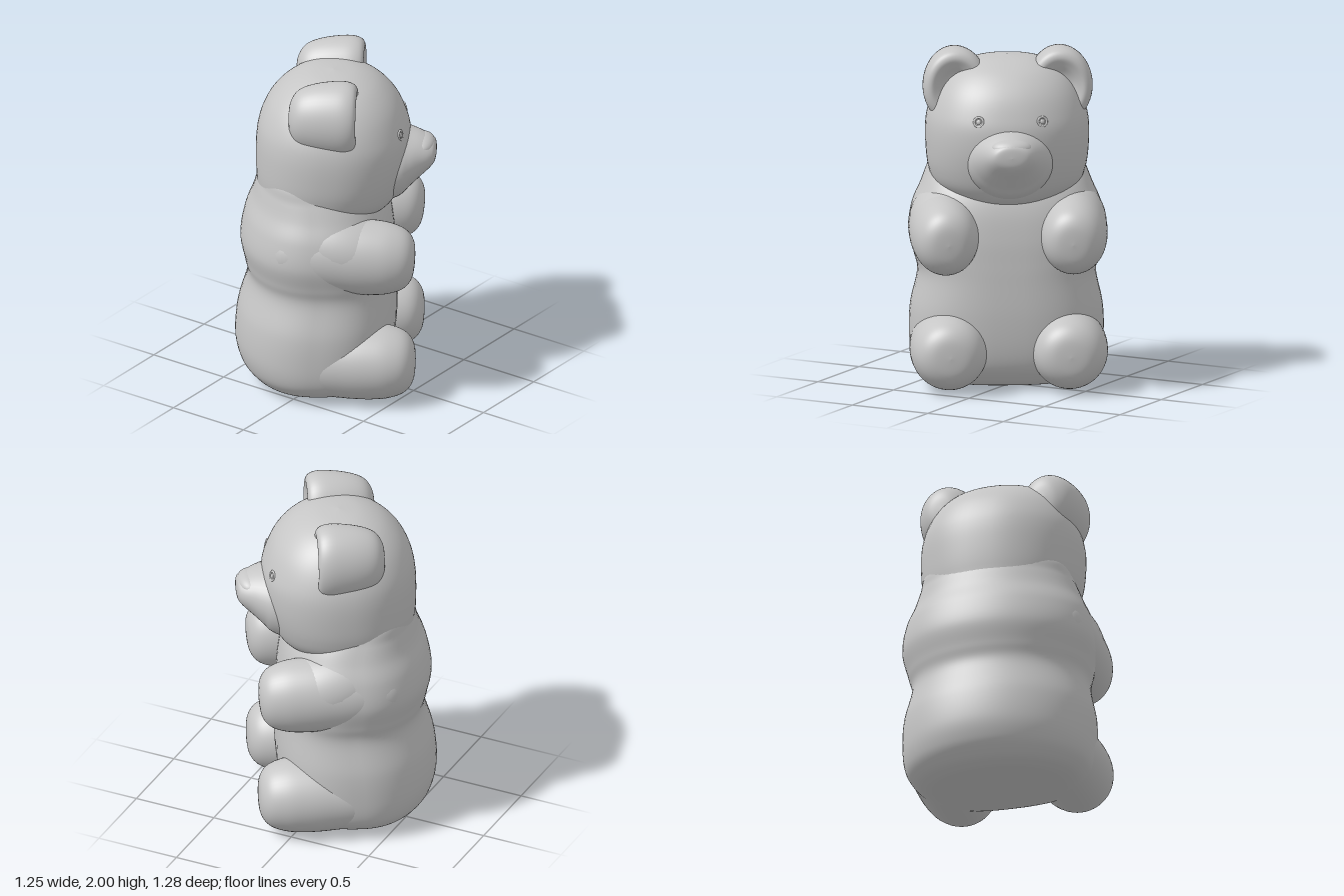
import * as THREE from 'three';

const grey = new THREE.MeshStandardMaterial({ color: 0xc6c6c6 });
grey.name = 'softGrey';

function part(name, geometry, parent, x = 0, y = 0, z = 0) {
  const mesh = new THREE.Mesh(geometry, grey);
  mesh.name = name;
  mesh.position.set(x, y, z);
  parent.add(mesh);
  return mesh;
}

// Smooth loft through rounded sections: [height, half width, back z, front z];
// a higher power makes that half of the section squarer
function loft(sections, backPower, frontPower, rows = 80, sides = 72) {
  const [width, back, front] = [1, 2, 3].map(
    (k) => new THREE.SplineCurve(sections.map((s) => new THREE.Vector2(s[0], s[k])))
  );
  const positions = [], index = [];
  for (let i = 0; i <= rows; i++) {
    const t = i / rows;
    const w = width.getPoint(t), b = back.getPoint(t).y, f = front.getPoint(t).y;
    for (let j = 0; j < sides; j++) {
      const a = (j / sides) * Math.PI * 2;
      const power = Math.cos(a) > 0 ? frontPower : backPower;
      const bend = (v) => Math.sign(v) * Math.abs(v) ** (2 / power);
      positions.push(w.y * bend(Math.sin(a)), Math.max(sections[0][0], w.x),
        (b + f) / 2 + ((f - b) / 2) * bend(Math.cos(a)));
      if (i === rows) continue;
      const p = i * sides + j, q = i * sides + ((j + 1) % sides);
      index.push(p, q, q + sides, p, q + sides, p + sides);
    }
  }
  const geometry = new THREE.BufferGeometry();
  geometry.setAttribute('position', new THREE.Float32BufferAttribute(positions, 3));
  geometry.setIndex(index);
  geometry.computeVertexNormals();
  return geometry;
}

// Round form turned about the z axis: [radius, z], from back to front
function turned(profile) {
  const curve = new THREE.SplineCurve(profile.map((p) => new THREE.Vector2(...p)));
  const points = curve.getPoints(48);
  points.forEach((p) => { p.x = Math.max(0, p.x); });
  return new THREE.LatheGeometry(points, 48).rotateX(Math.PI / 2);
}

export function createModel() {
  const model = new THREE.Group();
  model.name = 'bear';
  const bear = new THREE.Group();
  bear.name = 'bearBody';
  bear.rotation.y = 2.12; // the bear sits turned on its base
  bear.position.z = 0.018;
  model.add(bear);

  // Torso with bulges at the hips and shoulders, squarer towards the limbs
  part('torso', loft([
    [0, 0, -0.1, -0.1], [0.004, 0.32, -0.39, 0.08], [0.03, 0.44, -0.49, 0.18],
    [0.08, 0.51, -0.55, 0.24], [0.15, 0.55, -0.595, 0.285], [0.27, 0.565, -0.62, 0.31],
    [0.45, 0.56, -0.605, 0.32], [0.65, 0.52, -0.55, 0.315], [0.76, 0.54, -0.565, 0.31],
    [0.9, 0.57, -0.59, 0.3], [1.05, 0.55, -0.565, 0.275], [1.17, 0.5, -0.52, 0.23],
    [1.27, 0.46, -0.492, 0.16], [1.38, 0.41, -0.455, 0.05], [1.48, 0.25, -0.3, 0], [1.5, 0, -0.1, -0.1],
  ], 2.05, 2.6, 112), bear);

  // Head
  part('head', loft([
    [1.06, 0, -0.08, -0.08], [1.08, 0.2, -0.32, 0.18], [1.12, 0.32, -0.42, 0.27],
    [1.19, 0.42, -0.48, 0.325], [1.29, 0.46, -0.495, 0.365], [1.42, 0.475, -0.5, 0.395],
    [1.55, 0.475, -0.495, 0.4], [1.65, 0.455, -0.475, 0.375], [1.75, 0.41, -0.43, 0.33],
    [1.83, 0.35, -0.365, 0.265], [1.89, 0.27, -0.285, 0.185], [1.93, 0.16, -0.18, 0.08],
    [1.945, 0, -0.05, -0.05],
  ], 2.2, 2.2), bear);

  // Wedge-shaped snout, lofted upward and then tipped forward
  part('snout', loft([
    [0.2, 0.29, -1.62, -1.11], [0.34, 0.245, -1.59, -1.17], [0.40, 0.21, -1.57, -1.23],
    [0.46, 0.165, -1.55, -1.29], [0.52, 0.12, -1.52, -1.35], [0.545, 0.08, -1.495, -1.39],
    [0.552, 0, -1.44, -1.44],
  ], 2, 2, 40, 40).rotateX(Math.PI / 2), bear);
  part('nose', new THREE.SphereGeometry(1, 32, 20), bear, 0, 1.485, 0.47).scale.set(0.12, 0.055, 0.075);

  const limb = turned([
    [0, -0.42], [0.13, -0.34], [0.19, -0.15], [0.21, 0.05], [0.212, 0.2],
    [0.2, 0.31], [0.165, 0.4], [0.1, 0.448], [0, 0.46],
  ]);
  const ear = turned([
    [0, -0.3], [0.08, -0.288], [0.14, -0.24], [0.174, -0.14], [0.19, 0],
    [0.178, 0.075], [0.145, 0.1], [0.105, 0.085], [0.06, 0.06], [0, 0.05],
  ]);

  // Paired parts
  for (const [side, s] of [['left', 1], ['right', -1]]) {
    const arm = part(side + 'Arm', limb, bear, s * 0.385, 0.93, 0);
    arm.scale.set(0.93, 1.06, 0.99);
    arm.rotation.set(0.06, -s * 0.05, 0);
    const leg = part(side + 'Leg', limb, bear, s * 0.35, 0.235, 0);
    leg.scale.set(1.06, 1.06, 0.99);

    // Shoulder sloping from the neck into the arm
    const shoulder = part(side + 'Shoulder', new THREE.SphereGeometry(1, 40, 28), bear, s * 0.35, 0.96, 0.04);
    shoulder.scale.set(0.225, 0.22, 0.38);
    shoulder.rotation.x = 0.25;

    part(side + 'Ear', ear, bear, s * 0.305, 1.772, 0.01).scale.y = 1.2;

    // Small ringed eyes following the curve of the face
    const eye = new THREE.Group();
    eye.name = side + 'Eye';
    eye.position.set(s * 0.185, 1.62, 0.355);
    eye.rotation.set(-0.2, s * 0.28, 0);
    part(side + 'EyeRing', new THREE.TorusGeometry(0.027, 0.007, 10, 28), eye);
    part(side + 'EyeBead', new THREE.SphereGeometry(0.016, 16, 12), eye).scale.z = 0.6;
    bear.add(eye);
  }
  return model;
}
